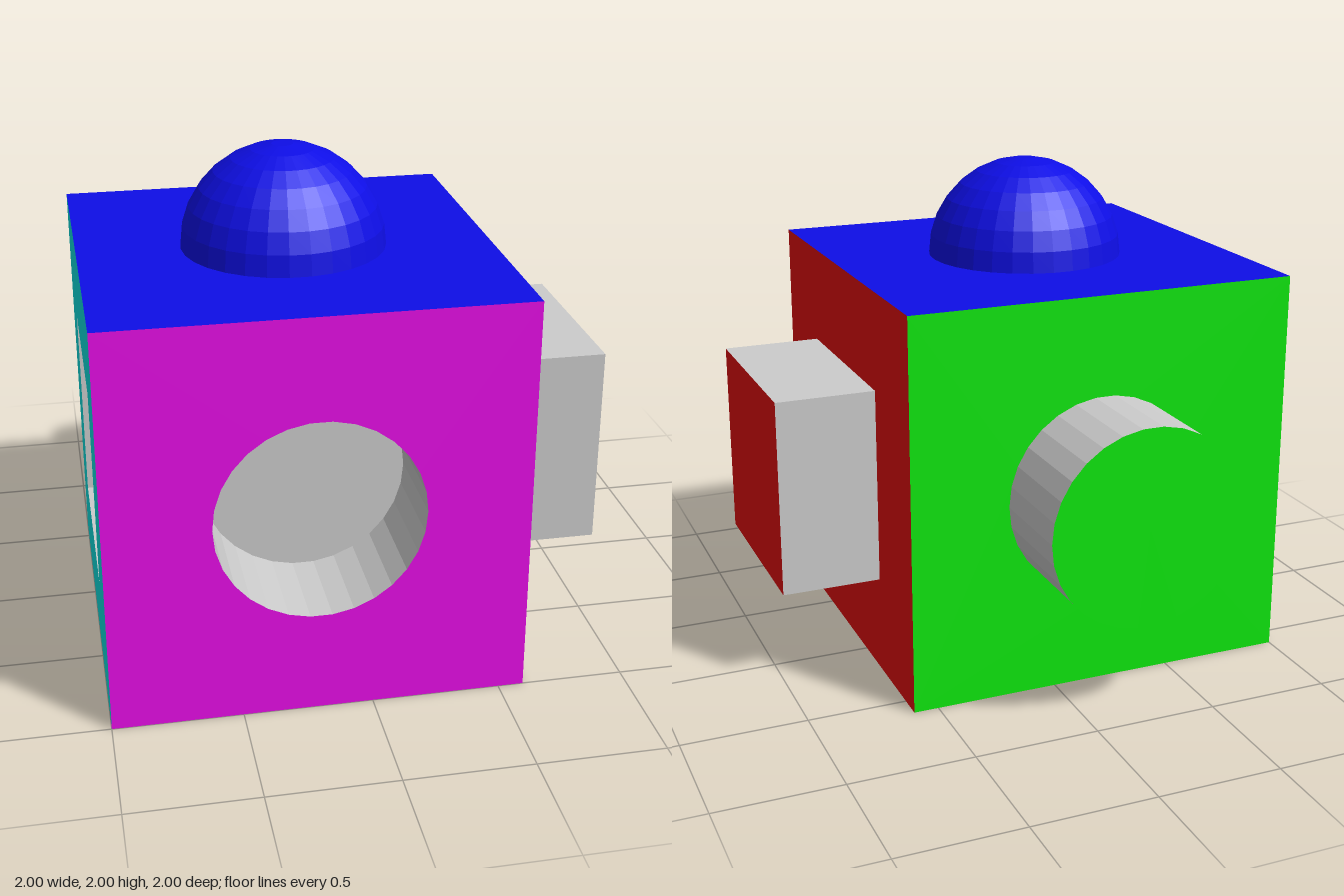
import * as THREE from 'three';

const HALF = 0.8;    // half the cube's edge
const DEPTH = 0.4;   // height of every boss, depth of every pocket
const ROUND = { sides: 30, radius: 0.4, start: 0 };
const SQUARE = { sides: 4, radius: 0.4 * Math.SQRT2, start: Math.PI / 4 };
const GREY = 0xcccccc;

function part(name, geometry, color) {
  const material = new THREE.MeshStandardMaterial({ color, flatShading: true, side: THREE.DoubleSide });
  const mesh = new THREE.Mesh(geometry, material);
  mesh.name = name;
  return mesh;
}

// Square cube face in the local xy plane, cut open to the outline of its feature
function panel({ sides, radius, start }) {
  const shape = new THREE.Shape([[-1, -1], [1, -1], [1, 1], [-1, 1]]
    .map(([x, y]) => new THREE.Vector2(x * HALF, y * HALF)));
  const rim = [];
  for (let i = 0; i < sides; i++) {
    const a = start - i / sides * Math.PI * 2;
    rim.push(new THREE.Vector2(Math.cos(a) * radius, Math.sin(a) * radius));
  }
  shape.holes.push(new THREE.Path(rim));
  return new THREE.ShapeGeometry(shape);
}

// Straight walls and end of a peg (direction 1) or pocket (direction -1)
function walls({ sides, radius, start }, direction) {
  return new THREE.CylinderGeometry(radius, radius, DEPTH, sides, 1, true, start + Math.PI / 2)
    .rotateX(Math.PI / 2).translate(0, 0, direction * DEPTH / 2);
}

function end({ sides, radius, start }, direction) {
  return new THREE.CircleGeometry(radius, sides, start).translate(0, 0, direction * DEPTH);
}

// Faceted half sphere, its rings 12 degrees apart
function dome(direction) {
  const profile = [];
  for (let i = 0; i <= 7; i++) {
    const a = THREE.MathUtils.degToRad(i * 12);
    profile.push(new THREE.Vector2(Math.cos(a) * 0.4, Math.sin(a) * 0.4));
  }
  profile.push(new THREE.Vector2(0, profile[7].y));
  return new THREE.LatheGeometry(profile, 30, Math.PI / 2)
    .rotateX(Math.PI / 2).scale(1, 1, direction);
}

export function createModel() {
  const model = new THREE.Group();
  model.name = 'shapeCube';
  const q = Math.PI / 2;

  // Every face is built facing +z, then turned into place
  const faces = [
    { name: 'front', color: 0xe60ee6, turn: [0, 0, 0], outline: ROUND, direction: -1, endColor: GREY },
    { name: 'back', color: 0x0ebe0e, turn: [0, 2 * q, 0], outline: ROUND, direction: 1 },
    { name: 'left', color: 0xe60e0e, turn: [0, q, 0], outline: SQUARE, direction: 1 },
    { name: 'right', color: 0x0ee6e6, turn: [0, -q, 0], outline: SQUARE, direction: -1 },
    { name: 'top', color: 0x0e0ee6, turn: [-q, 0, 0], outline: ROUND, direction: 1, spherical: true },
    { name: 'bottom', color: 0xe6e60e, turn: [q, 0, 0], outline: ROUND, direction: -1, spherical: true },
  ];
  faces[1].color = 0x0ee60e;

  for (const { name, color, turn, outline, direction, endColor = color, spherical } of faces) {
    const face = new THREE.Group();
    face.name = name + 'Face';
    const feature = name + (direction > 0 ? 'Peg' : 'Pocket');
    const inner = new THREE.Group();
    inner.position.z = HALF;
    inner.add(part(name + 'Panel', panel(outline), color));
    if (spherical) {
      inner.add(part(feature + 'Dome', dome(direction), color));
    } else {
      inner.add(part(feature + 'Walls', walls(outline, direction), GREY));
      inner.add(part(feature + 'End', end(outline, direction), endColor));
    }
    face.add(inner);
    face.rotation.set(...turn);
    face.position.set(-0.2, 0.8, 0.2);
    model.add(face);
  }
  return model;
}
